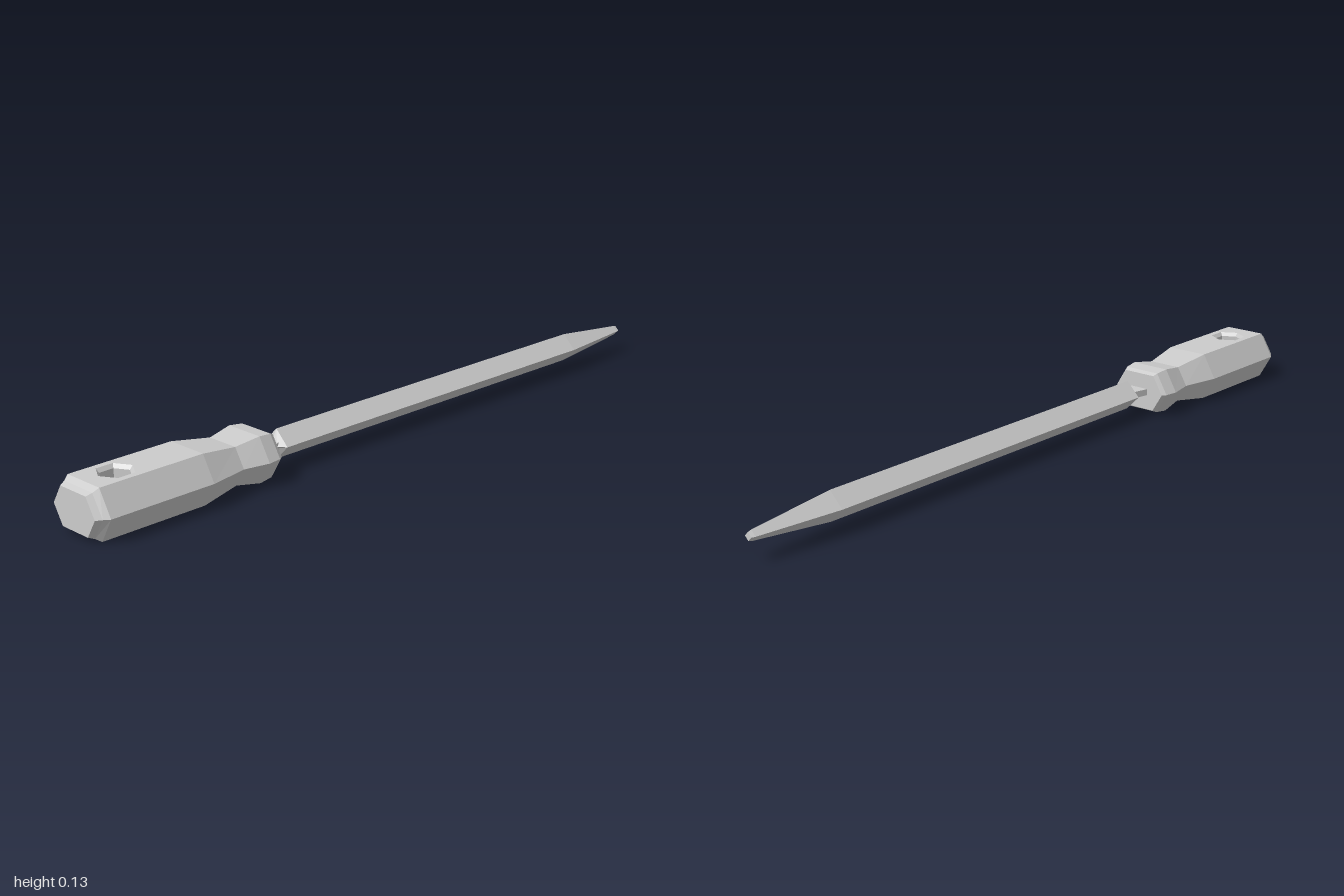
import * as THREE from 'three';

const MID = 0.066; // height of the tool's axis
const material = new THREE.MeshStandardMaterial({ color: 0xcccccc, flatShading: true });

// Skin a list of rings (arrays of Vector3); skip(section, side) leaves a panel open
function loft(rings, caps = true, skip = () => false) {
  const pos = [];
  const tri = (...pts) => pts.forEach((p) => pos.push(p.x, p.y, p.z));
  const n = rings[0].length;
  for (let i = 0; i < rings.length - 1; i++) {
    for (let j = 0; j < n; j++) {
      if (skip(i, j)) continue;
      const k = (j + 1) % n;
      const a = rings[i][j], b = rings[i][k], c = rings[i + 1][k], d = rings[i + 1][j];
      tri(a, d, c);
      tri(a, c, b);
    }
  }
  if (caps) {
    const first = rings[0], last = rings[rings.length - 1];
    for (let j = 1; j < n - 1; j++) {
      tri(first[0], first[j], first[j + 1]);
      tri(last[0], last[j + 1], last[j]);
    }
  }
  const g = new THREE.BufferGeometry();
  g.setAttribute('position', new THREE.Float32BufferAttribute(pos, 3));
  g.computeVertexNormals();
  return g;
}

function add(parent, name, geometry) {
  const mesh = new THREE.Mesh(geometry, material);
  mesh.name = name;
  parent.add(mesh);
  return mesh;
}

// Flattened hexagon: half width w, half height h
const hexRing = ([z, w, h]) => {
  const f = w * 0.61;
  return [[w, 0], [f, h], [-f, h], [-w, 0], [-f, -h], [f, -h]].map(([x, y]) => new THREE.Vector3(x, y, z));
};
// Diamond with half width w and half height h
const diamondRing = ([z, w, h = w]) =>
  [[w, 0], [0, h], [-w, 0], [0, -h]].map(([x, y]) => new THREE.Vector3(x, y, z));
// Hexagon in the horizontal plane, wound for inward-facing walls
const holeRing = ([y, r]) => Array.from({ length: 6 }, (_, i) => {
  const a = (i * Math.PI) / 3;
  return new THREE.Vector3(-r * Math.sin(a), y, r * Math.cos(a));
});

function createHandle() {
  const handle = new THREE.Group();
  handle.name = 'handle';
  const W = 0.098, H = 0.066, z0 = 0.97, z1 = 0.67, holeZ = 0.88, holeR = 0.049;

  // Grip, with top and bottom panels of the long section left open
  const grip = [
    [1, 0.078, 0.05], [0.985, 0.087, 0.056], [z0, W, H], [z1, W, H],
    [0.56, 0.077, 0.05], [0.49, 0.092, 0.061], [0.452, 0.087, 0.057], [0.44, 0.079, 0.051],
  ].map(hexRing);
  add(handle, 'grip', loft(grip, true, (i, j) => i === 2 && (j === 1 || j === 4)));

  // Panels pierced by the hanging hole
  const f = W * 0.61;
  const panel = new THREE.Shape([[-f, -z0], [f, -z0], [f, -z1], [-f, -z1]].map(([x, y]) => new THREE.Vector2(x, y)));
  panel.holes.push(new THREE.Path(holeRing([0, holeR]).map((p) => new THREE.Vector2(p.x, -holeZ - p.z))));
  const top = new THREE.ShapeGeometry(panel).rotateX(-Math.PI / 2).translate(0, H, 0);
  add(handle, 'topPanel', top);
  add(handle, 'bottomPanel', top.clone().rotateZ(Math.PI));

  // Bevelled walls of the hole
  const hole = [[H, holeR], [H - 0.01, 0.041], [0.01 - H, 0.041], [-H, holeR]].map(holeRing);
  add(handle, 'hangingHole', loft(hole, false)).position.z = holeZ;
  return handle;
}

export function createModel() {
  const model = new THREE.Group();
  model.name = 'screwdriver';
  const tool = new THREE.Group();
  tool.name = 'tool';
  tool.position.y = MID;
  model.add(tool);

  tool.add(createHandle());

  // Flat tang between handle and shaft
  const tang = [[0.45, 0.03], [0.38, 0.015]].map(([z, w]) =>
    [[w, -0.009], [w, 0.009], [-w, 0.009], [-w, -0.009]].map(([x, y]) => new THREE.Vector3(x, y, z)));
  add(tool, 'tang', loft(tang));

  // Four-sided shaft tapering to a blunt tip
  const shaft = [[0.4, 0.018, 0.01], [0.385, 0.04], [-0.75, 0.04], [-0.99, 0.014], [-1, 0.011]].map(diamondRing);
  add(tool, 'shaft', loft(shaft));
  return model;
}
